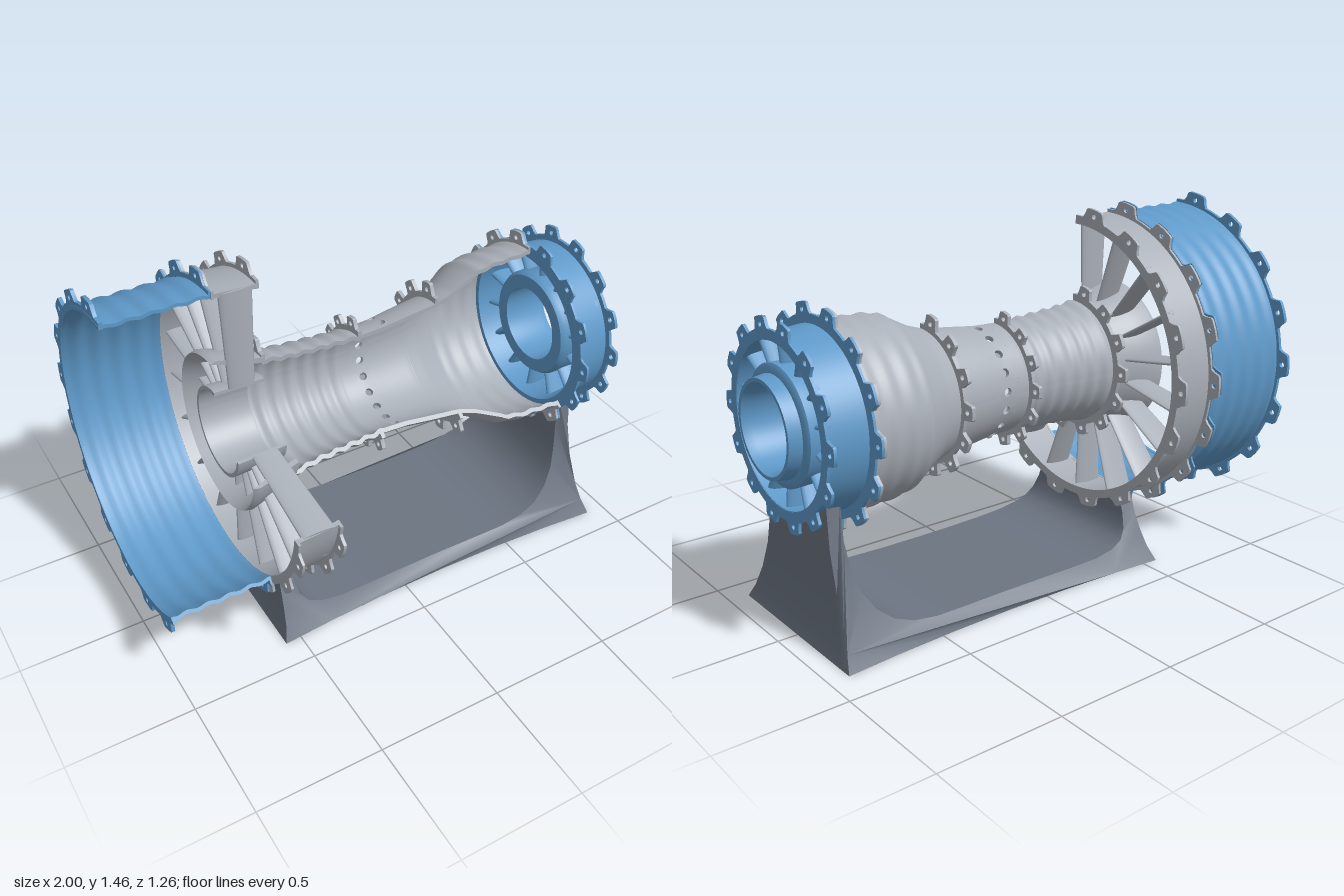
import * as THREE from 'three';
import { mergeGeometries, toCreasedNormals } from 'three/addons/utils/BufferGeometryUtils.js';

const CY = 0.815, CZ = 0.013, RAD = Math.PI / 180; // engine axis runs along x
const FAN = [90, 307], FRAME = [89.5, 350.5], CORE = [90, 321.4], FULL = [0, 360];

const paint = (name, color) => {
  const m = new THREE.MeshStandardMaterial({ color });
  m.name = name;
  return m;
};

function clean(geo) {
  geo.deleteAttribute('uv');
  geo.deleteAttribute('normal');
  return toCreasedNormals(geo, 0.6);
}

// angle is measured from +z (front) up towards +y
const polar = (x, r, a) => [x, r * Math.sin(a), r * Math.cos(a)];

// sweep a closed (x, radius) profile round the axis between two angles
function sweep(points, [from, to]) {
  const shape = new THREE.Shape(points.map(p => new THREE.Vector2(...p)));
  const steps = Math.ceil((to - from) / 4);
  const geo = new THREE.ExtrudeGeometry(shape, { depth: 1, steps, bevelEnabled: false });
  const p = geo.attributes.position;
  for (let i = 0; i < p.count; i++) {
    p.setXYZ(i, ...polar(p.getX(i), p.getY(i), (to + (from - to) * p.getZ(i)) * RAD));
  }
  return clean(geo);
}

// thin casing whose outer radius is a function of x
function casing(radius, x0, x1, span, thick = 0.018) {
  const n = Math.ceil((x1 - x0) / 0.0125), outer = [], inner = [];
  for (let i = 0; i <= n; i++) {
    const x = x0 + (x1 - x0) * i / n, r = radius(x);
    outer.push([x, r]);
    inner.unshift([x, r - thick]);
  }
  return sweep([...outer, ...inner], span);
}

// flat flange of equal sectors, each with a bolt tab and hole
function flange(x, thick, rIn, rBase, rTab, [from, to], count) {
  const step = (to - from) / count * RAD, parts = [];
  const at = (r, f) => new THREE.Vector2(r * Math.cos(f * step), r * Math.sin(f * step));
  const outline = [[0, 0], [0.1, 0], [0.2, 0], [0.25, 0.3], [0.3, 0.9], [0.34, 1], [0.5, 1.03],
    [0.66, 1], [0.7, 0.9], [0.75, 0.3], [0.8, 0], [0.9, 0], [1, 0]];
  const pts = outline.map(([f, h]) => at(rBase + (rTab - rBase) * h, f));
  for (let i = 6; i >= 0; i--) pts.push(at(rIn, i / 6));
  const shape = new THREE.Shape(pts), c = at(rBase + (rTab - rBase) * 0.35, 0.5);
  shape.holes.push(new THREE.Path().absarc(c.x, c.y, 0.011, 0, Math.PI * 2, true));
  const geo = clean(new THREE.ExtrudeGeometry(shape, { depth: thick, bevelEnabled: false, curveSegments: 6 }));
  for (let k = 0; k < count; k++) {
    parts.push(geo.clone().rotateZ(Math.PI - to * RAD + k * step));
  }
  return mergeGeometries(parts).rotateY(Math.PI / 2).translate(x - thick / 2, 0, 0);
}

// streamlined radial vanes
function vanes(x, r0, r1, halfChord, halfThick, from, step, count) {
  const parts = [];
  for (let k = 0; k < count; k++) {
    const g = new THREE.CylinderGeometry(1, 0.8, r1 - r0, 16, 1);
    g.scale(halfChord, 1, halfThick).translate(x, (r0 + r1) / 2, 0);
    parts.push(g.rotateX((90 - from - k * step) * RAD));
  }
  return mergeGeometries(parts);
}

// core outline: broad shape plus shallow circumferential ripples
const CORE_LINE = [[-0.42, 0.253], [-0.3, 0.236], [-0.15, 0.226], [0, 0.218], [0.1, 0.222], [0.2, 0.235],
  [0.33, 0.25], [0.4, 0.273], [0.46, 0.305], [0.52, 0.337], [0.58, 0.35], [0.78, 0.358]];
function coreRadius(x) {
  let i = 0;
  while (i < CORE_LINE.length - 2 && x > CORE_LINE[i + 1][0]) i++;
  const [x0, r0] = CORE_LINE[i], [x1, r1] = CORE_LINE[i + 1];
  const ripple = x < 0 ? 0.005 * Math.sin(x * 95) : x > 0.5 ? 0.003 * Math.sin((x - 0.5) * 80) : 0;
  return r0 + (r1 - r0) * (x - x0) / (x1 - x0) + ripple;
}

// core band with a row of round ports, one tile per port
function portBand(xc, halfX, holeR, [from, to], count, thick) {
  const n = 24, pos = [], idx = [], halfA = (to - from) / count / 2 * RAD;
  for (let k = 0; k < count; k++) {
    const ac = from * RAD + (2 * k + 1) * halfA, base = k * 4 * n;
    for (let j = 0; j < 4; j++) {
      for (let u = 0; u < n; u++) {
        const th = u / n * Math.PI * 2, c = Math.cos(th), s = Math.sin(th);
        const m = Math.max(Math.abs(c), Math.abs(s)), hole = j === 1 || j === 2;
        const x = xc + (hole ? c * holeR : c / m * halfX);
        const a = ac + (hole ? s * holeR / coreRadius(xc) : s / m * halfA);
        pos.push(...polar(x, coreRadius(x) - (j > 1 ? thick : 0), a));
        const v = (u + 1) % n, q = base + ((j + 1) % 4) * n, p = base + j * n;
        idx.push(p + u, p + v, q + u, p + v, q + v, q + u);
      }
    }
  }
  const geo = new THREE.BufferGeometry();
  geo.setAttribute('position', new THREE.Float32BufferAttribute(pos, 3));
  geo.setIndex(idx);
  return toCreasedNormals(geo, 0.6);
}

// stand: side profile swept across z, flared at the foot and cradling the casings
function standGeometry() {
  const leftTop = 0.29, rightTop = 0.55;
  const outline = [[-0.565, 0], [-0.545, 0.06], [-0.535, 0.13], [-0.53, 0.19], [-0.528, leftTop], [-0.47, leftTop],
    [-0.468, 0.2], [-0.455, 0.145], [-0.425, 0.105], [-0.37, 0.082], [-0.28, 0.068], [-0.15, 0.064], [0, 0.063],
    [0.18, 0.063], [0.35, 0.063], [0.5, 0.066], [0.6, 0.08], [0.68, 0.11], [0.74, 0.16], [0.785, 0.23], [0.81, 0.32],
    [0.822, 0.42], [0.826, rightTop], [0.884, rightTop], [0.884, 0.4], [0.885, 0.25], [0.892, 0.13], [0.903, 0.06],
    [0.92, 0], [0.7, 0], [0.45, 0], [0.18, 0], [-0.1, 0], [-0.35, 0]];
  const shape = new THREE.Shape(outline.map(p => new THREE.Vector2(...p)));
  const geo = new THREE.ExtrudeGeometry(shape, { depth: 2, steps: 16, bevelEnabled: false });
  const p = geo.attributes.position;
  for (let i = 0; i < p.count; i++) {
    const x = p.getX(i), t = p.getZ(i) - 1;
    let y = p.getY(i);
    const cradle = (r, w) => CY - Math.sqrt(r * r - (t * w) ** 2) + 0.012;
    if (x < 0 && Math.abs(y - leftTop) < 1e-4) y = cradle(0.59, 0.25);
    if (x > 0.82 && Math.abs(y - rightTop) < 1e-4) y = cradle(0.33, 0.21);
    const pinch = 0.035 * Math.max(0, 1 - ((x - 0.18) / 0.74) ** 2);
    const w = 0.21 + 0.168 * Math.max(0, 1 - y / 0.55) ** 2 - pinch;
    p.setXYZ(i, x, y, CZ + t * w);
  }
  return clean(geo);
}

export function createModel() {
  const blue = paint('casing blue', 0x5f9aca);
  const grey = paint('light metal grey', 0xaab0b9);
  const dark = paint('stand grey', 0x6c7582);
  const model = new THREE.Group();
  model.name = 'cutawayEngineOnStand';
  const engine = new THREE.Group();
  engine.name = 'engine';
  engine.position.set(0, CY, CZ);
  model.add(engine);
  const add = (name, geo, mat, parent = engine) => {
    const mesh = new THREE.Mesh(geo, mat);
    mesh.name = name;
    parent.add(mesh);
  };

  // fan case
  add('fanCase', casing(x => 0.588 + 0.004 * Math.sin((x + 1) * 75), -1, -0.6, FAN, 0.014), blue);
  add('fanFrontFlange', flange(-0.992, 0.014, 0.575, 0.603, 0.645, FAN, 11), blue);
  add('fanRearFlange', flange(-0.604, 0.008, 0.575, 0.603, 0.645, FAN, 11), blue);

  // fan frame with struts, splitter and inner hub
  add('fanFrame', casing(x => 0.588 - 0.06 * (x + 0.6), -0.6, -0.42, FRAME), grey);
  add('frameFrontFlange', flange(-0.595, 0.01, 0.568, 0.6, 0.642, FRAME, 13), grey);
  add('frameRearFlange', flange(-0.426, 0.012, 0.558, 0.592, 0.632, FRAME, 13), grey);
  add('frameStruts', vanes(-0.51, 0.17, 0.58, 0.066, 0.013, 90, 20, 14), grey);
  add('splitter', sweep([[-0.625, 0.305], [-0.6, 0.312], [-0.52, 0.29], [-0.42, 0.262], [-0.42, 0.24], [-0.52, 0.265]], FRAME), grey);
  add('innerHub', sweep([[-0.62, 0.178], [-0.42, 0.17], [-0.42, 0.157], [-0.62, 0.163]], FRAME), grey);

  // core casing
  add('compressorCasing', casing(coreRadius, -0.42, 0.05, CORE), grey);
  add('portBand', portBand(0.1, 0.05, 0.017, CORE, 12, 0.018), grey);
  add('turbineCasing', casing(coreRadius, 0.15, 0.77, CORE), grey);
  [[-0.418, 0.275, 0.318], [-0.014, 0.237, 0.275], [0.332, 0.272, 0.319], [0.765, 0.372, 0.413]].forEach(([x, base, tab], i) =>
    add('coreFlange' + (i + 1), flange(x, i === 3 ? 0.01 : 0.016, coreRadius(x) - 0.016, base, tab, CORE, 9), grey));

  // turbine rear frame
  add('rearFrame', casing(x => 0.338 - 0.09 * (x - 0.77), 0.77, 0.945, FULL), blue);
  add('rearFrameFrontFlange', flange(0.775, 0.01, 0.32, 0.372, 0.413, [90, 450], 14), blue);
  add('rearFrameRearFlange', flange(0.941, 0.012, 0.306, 0.345, 0.388, [90, 450], 14), blue);
  add('rearVanes', vanes(0.875, 0.21, 0.325, 0.055, 0.018, 90, 360 / 14, 14), blue);
  add('rearHub', sweep([[0.8, 0.21], [0.82, 0.222], [0.94, 0.225], [0.95, 0.21], [0.95, 0.19], [1, 0.182],
    [1, 0.168], [0.965, 0.155], [0.8, 0.155]], FULL), blue);

  add('stand', standGeometry(), dark, model);
  return model;
}
